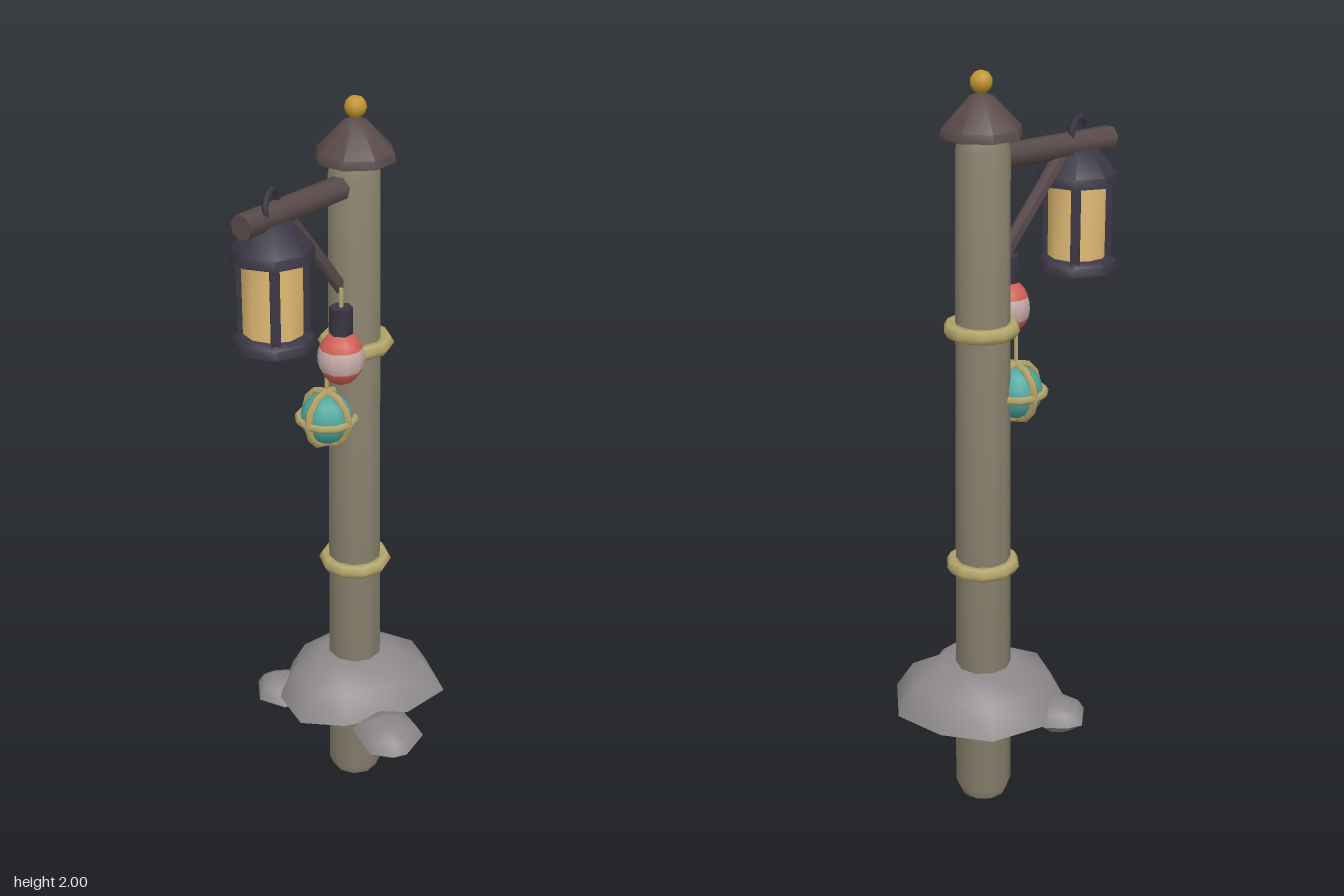
import * as THREE from 'three';
import { toCreasedNormals } from 'three/addons/utils/BufferGeometryUtils.js';

const mat = (name, color) => {
  const m = new THREE.MeshStandardMaterial({ color });
  m.name = name;
  return m;
};

// Closed solid from an xz outline, scaled about its centre at each [height, scale] level
function outlineSolid(outline, levels) {
  const n = outline.length;
  const cx = outline.reduce((s, p) => s + p[0], 0) / n;
  const cz = outline.reduce((s, p) => s + p[1], 0) / n;
  const pos = [], index = [];
  levels.forEach(([y, s]) => outline.forEach(([x, z]) => pos.push(cx + (x - cx) * s, y, cz + (z - cz) * s)));
  for (let j = 0; j < levels.length - 1; j++) {
    for (let i = 0; i < n; i++) {
      const a = j * n + i, b = j * n + (i + 1) % n;
      index.push(a, b, a + n, b, b + n, a + n);
    }
  }
  const g = new THREE.BufferGeometry();
  g.setAttribute('position', new THREE.Float32BufferAttribute(pos, 3));
  g.setIndex(index);
  return toCreasedNormals(g, 1.0);
}

// Turned part from [radius, height] points, bottom to top
const turned = (points, sides) =>
  toCreasedNormals(new THREE.LatheGeometry(points.map(([r, y]) => new THREE.Vector2(r, y)), sides), 0.85);

const cylinder = (r, h, sides) => toCreasedNormals(new THREE.CylinderGeometry(r, r, h, sides), 1.1);

export function createModel() {
  const model = new THREE.Group();
  const wood = mat('weathered wood', 0x8c8470);
  const darkWood = mat('dark wood', 0x5a4a4a);
  const metal = mat('dark metal', 0x3a3644);
  const stone = mat('stone', 0x8c888a);
  const rope = mat('rope', 0xb5a66c);
  const brass = mat('brass', 0xc4962f);
  const glow = mat('lantern glass', 0xe2ba74);
  const red = mat('red paint', 0xcf6054);
  const pale = mat('pale paint', 0xc9aea8);
  const teal = mat('teal glass', 0x4aa69c);

  const add = (parent, name, geometry, material, x = 0, y = 0, z = 0) => {
    const m = new THREE.Mesh(geometry, material);
    m.name = name;
    m.position.set(x, y, z);
    parent.add(m);
    return m;
  };
  const group = (name, x, y, z) => {
    const g = new THREE.Group();
    g.name = name;
    g.position.set(x, y, z);
    model.add(g);
    return g;
  };

  // Rod between two points
  const rod = (name, from, to, r, sides, material) => {
    const a = new THREE.Vector3(...from), b = new THREE.Vector3(...to);
    const m = add(model, name, cylinder(r, a.distanceTo(b), sides), material);
    m.position.copy(a).add(b).multiplyScalar(0.5);
    m.quaternion.setFromUnitVectors(new THREE.Vector3(0, 1, 0), b.sub(a).normalize());
  };

  // Post, leaning very slightly
  const post = add(model, 'post', turned([[0, 0], [0.064, 0], [0.076, 0.03], [0.067, 1.81], [0.06, 1.84], [0, 1.84]], 10),
    wood, -0.031, 0, -0.095);
  post.rotation.z = 0.006;

  // Cap and finial
  const cap = add(model, 'postCap',
    turned([[0, 1.843], [0.103, 1.843], [0.1, 1.865], [0.03, 1.938], [0, 1.95]], 8), darkWood, -0.041, 0, -0.098);
  cap.rotation.y = Math.PI / 8;
  add(model, 'finial', new THREE.IcosahedronGeometry(0.028, 1), brass, -0.041, 1.972, -0.098);

  // Rope rings
  for (const y of [0.707, 1.36]) {
    const ring = add(model, 'ropeRing', new THREE.TorusGeometry(0.079, 0.02, 6, 10), rope, -0.035, y, -0.096);
    ring.rotation.x = Math.PI / 2;
  }

  // Stones around the post
  add(model, 'largeStone', outlineSolid(
    [[-0.03, 0.148], [0.075, 0.08], [0.17, -0.084], [0.186, -0.23], [0.047, -0.324],
      [-0.099, -0.292], [-0.211, -0.205], [-0.238, -0.057], [-0.16, 0.09]],
    [[0.222, 0.01], [0.222, 0.5], [0.28, 1], [0.358, 0.8], [0.405, 0.45], [0.41, 0.01]]), stone);
  const smallLevels = [[0.222, 0.01], [0.226, 0.5], [0.262, 1], [0.296, 0.78], [0.31, 0.4], [0.312, 0.01]];
  add(model, 'leftStone', outlineSolid(
    [[0.193, 0.116], [0.252, 0.085], [0.27, 0.053], [0.252, -0.045], [0.17, -0.08], [0.1, -0.03], [0.085, 0.06]],
    smallLevels), stone);
  add(model, 'rightStone', outlineSolid(
    [[-0.21, 0.118], [-0.13, 0.1], [-0.11, 0.03], [-0.15, -0.04], [-0.22, -0.03], [-0.26, 0.012], [-0.273, 0.055]],
    smallLevels.map(([y, s]) => [0.222 + (y - 0.222) * 0.9, s])), stone);

  // Arm and brace
  rod('arm', [-0.04, 1.784, -0.1], [-0.04, 1.784, 0.318], 0.032, 7, darkWood);
  rod('brace', [-0.04, 1.765, 0.155], [-0.04, 1.52, -0.045], 0.019, 6, darkWood);

  // Lantern
  const lantern = group('lantern', -0.037, 0, 0.216);
  add(lantern, 'lanternBase', turned([[0, 1.46], [0.103, 1.46], [0.1, 1.482], [0.085, 1.495], [0, 1.495]], 8), metal);
  add(lantern, 'lanternGlass', cylinder(0.076, 0.21, 10), glow, 0, 1.59, 0);
  add(lantern, 'lanternRoof',
    turned([[0, 1.685], [0.103, 1.685], [0.1, 1.71], [0.05, 1.77], [0, 1.775]], 8), metal);
  for (let i = 0; i < 4; i++) {
    const a = Math.PI / 4 + i * Math.PI / 2;
    const bar = add(lantern, 'lanternBar', new THREE.BoxGeometry(0.024, 0.22, 0.024), metal,
      Math.sin(a) * 0.076, 1.59, Math.cos(a) * 0.076);
    bar.rotation.y = a;
  }
  const hook = add(lantern, 'lanternHook', new THREE.TorusGeometry(0.042, 0.009, 5, 12), metal, 0, 1.806, 0);
  hook.rotation.y = -1.18;

  // Painted float: red ends, pale middle band, dark collar, cord
  const buoy = group('paintedFloat', 0.021, 1.376, 0.032);
  const cuts = [0, 0.37, 0.63, 1];
  [red, pale, red].forEach((m, i) => {
    const g = new THREE.SphereGeometry(0.06, 10, 4, 0, Math.PI * 2, cuts[i] * Math.PI, (cuts[i + 1] - cuts[i]) * Math.PI);
    g.scale(1, 1.2, 1);
    add(buoy, ['floatTop', 'floatBand', 'floatBottom'][i], g, m);
  });
  add(buoy, 'floatCollar', cylinder(0.03, 0.07, 6), metal, 0, 0.101, 0);
  add(buoy, 'floatCord', cylinder(0.006, 0.06, 5), rope, 0, 0.155, 0);

  // Glass ball in a rope net
  const ball = group('glassBall', -0.052, 1.173, 0.002);
  add(ball, 'ballGlass', new THREE.SphereGeometry(0.07, 12, 8), teal);
  for (const [x, y] of [[0, 0], [Math.PI / 2, 0], [0, Math.PI / 2]]) {
    const net = add(ball, 'netRing', new THREE.TorusGeometry(0.074, 0.011, 5, 12), rope);
    net.rotation.set(x, y, 0);
  }
  add(ball, 'ballCord', cylinder(0.006, 0.11, 5), rope, 0, 0.13, 0);

  return model;
}
